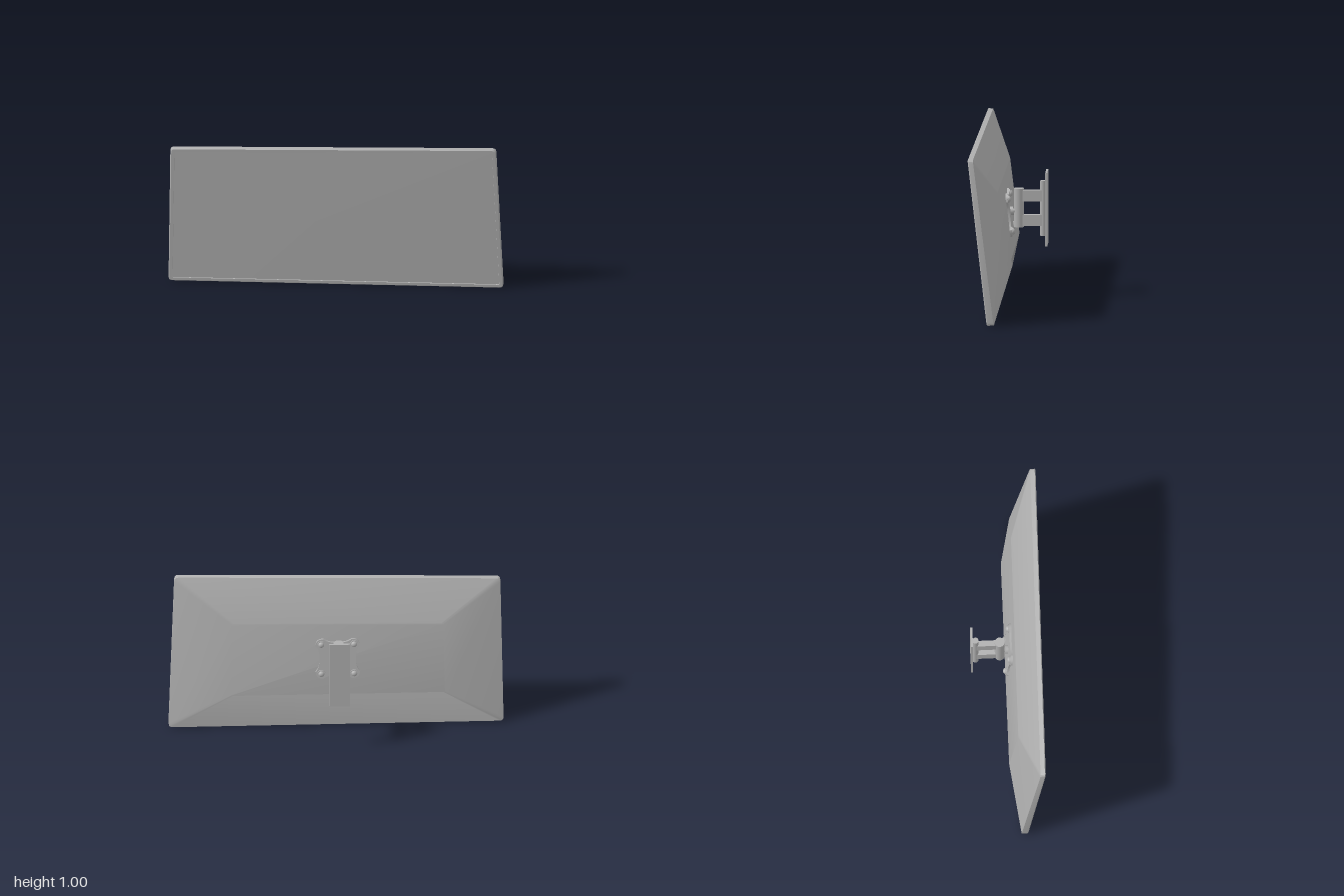
import * as THREE from 'three';
import { toCreasedNormals } from 'three/addons/utils/BufferGeometryUtils.js';

const grey = new THREE.MeshStandardMaterial({ color: 0xb0b0b0 });
grey.name = 'neutral grey';

const V = (x, y, z) => new THREE.Vector3(x, y, z);

function part(name, geometry, parent, x = 0, y = 0, z = 0) {
  const mesh = new THREE.Mesh(geometry, grey);
  mesh.name = name;
  mesh.position.set(x, y, z);
  parent.add(mesh);
  return mesh;
}

// Four corners (bottom left, bottom right, top right, top left) to a loop with rounded corners
function ring(corners, r) {
  const pts = [];
  corners.forEach((c, i) => {
    const towards = (o) => c.clone().add(o.clone().sub(c).setLength(r));
    const curve = new THREE.QuadraticBezierCurve3(
      towards(corners[(i + 3) % 4]), c, towards(corners[(i + 1) % 4]));
    pts.push(...curve.getPoints(3));
  });
  return pts;
}

// Shrink a corner loop in its own plane and push it along z
function inset(corners, d, dz = 0) {
  const sx = [1, -1, -1, 1], sy = [1, 1, -1, -1];
  return corners.map((c, i) => V(c.x + sx[i] * d, c.y + sy[i] * d, c.z + sy[i] * d * 0.115 + dz));
}

function surface(faces, crease) {
  const pos = [];
  for (const f of faces) {
    for (let i = 1; i < f.length - 1; i++) {
      for (const p of [f[0], f[i], f[i + 1]]) pos.push(p.x, p.y, p.z);
    }
  }
  const g = new THREE.BufferGeometry();
  g.setAttribute('position', new THREE.Float32BufferAttribute(pos, 3));
  return toCreasedNormals(g, crease);
}

function buildDisplay(parent) {
  const front = [V(-1, 0.004, 0.085), V(1, 0, 0.1), V(0.96, 1.003, 0.217), V(-0.985, 0.963, 0.192)];
  const rear = [V(-1, 0.008, 0.045), V(1, 0.004, 0.058), V(0.96, 1, 0.185), V(-0.985, 0.96, 0.16)];
  const back = [V(-0.65, 0.265, -0.013), V(0.63, 0.265, -0.006), V(0.62, 0.745, 0.055), V(-0.64, 0.727, 0.043)];

  const screenRing = ring(inset(front, 0.025, -0.005), 0.006);
  const rings = [
    screenRing,
    ring(inset(front, 0.024), 0.006),
    ring(inset(front, 0.006), 0.02),
    ring(inset(front, 0, -0.006), 0.025),
    ring(rear, 0.025),
    ring(back, 0.012),
  ];

  // Casing: bezel, rim and sloping rear skin, leaving the lower rear slope open
  const faces = [];
  for (let k = 0; k < rings.length - 1; k++) {
    const a = rings[k], b = rings[k + 1], n = a.length;
    for (let i = 0; i < n; i++) {
      if (k === rings.length - 2 && i === 3) continue;
      const j = (i + 1) % n;
      faces.push([a[i], b[i], b[j], a[j]]);
    }
  }
  faces.push([...rings[5]].reverse());

  // Recess under the rear hump: set-back panel, ledge and end walls
  const L0 = rings[4][3], R0 = rings[4][4], Li = rings[5][3], Ri = rings[5][4];
  const Ld = Li.clone().add(V(0, 0, 0.095)), Rd = Ri.clone().add(V(0, 0, 0.095));
  faces.push([L0, Ld, Rd, R0], [Ld, Li, Ri, Rd], [L0, Li, Ld], [R0, Rd, Ri]);
  part('displayCasing', surface(faces, 0.5), parent);

  part('screen', surface([screenRing], 0.5), parent);
}

function buildMountPlate(parent) {
  const group = new THREE.Group();
  group.name = 'mountPlate';
  group.position.set(-0.008, 0.508, 0.018);
  group.rotation.x = 0.125;
  parent.add(group);

  // Plate with rounded lobes and concave edges
  const shape = new THREE.Shape();
  const h = 0.132, t = 0.085;
  shape.moveTo(-t, -h);
  for (let i = 0; i < 4; i++) {
    const a = i * Math.PI / 2, c = Math.cos(a), s = Math.sin(a);
    const at = (x, y) => [x * c - y * s, x * s + y * c];
    shape.quadraticCurveTo(...at(-0.06, -0.108), ...at(0, -0.108));
    shape.quadraticCurveTo(...at(0.06, -0.108), ...at(t, -h));
    shape.quadraticCurveTo(...at(h, -h), ...at(h, -t));
  }
  const plate = new THREE.ExtrudeGeometry(shape, { depth: 0.012, bevelEnabled: false, curveSegments: 8 });
  part('plate', toCreasedNormals(plate, 0.5), group, 0, 0, -0.012);

  // Domed bolts with washers
  for (const x of [-0.098, 0.098]) for (const y of [-0.098, 0.098]) {
    const washer = new THREE.CylinderGeometry(0.024, 0.024, 0.006, 20).rotateX(Math.PI / 2);
    part('washer', washer, group, x, y, -0.015);
    const dome = new THREE.SphereGeometry(0.018, 16, 8, 0, Math.PI * 2, 0, Math.PI / 2)
      .scale(1, 0.75, 1).rotateX(-Math.PI / 2);
    part('bolt', dome, group, x, y, -0.018);
  }

  // Central pivot
  const collar = new THREE.CylinderGeometry(0.026, 0.026, 0.018, 24).rotateX(Math.PI / 2);
  part('pivotCollar', collar, group, 0, 0.008, -0.021);
  const pin = new THREE.CylinderGeometry(0.016, 0.016, 0.035, 20).rotateX(Math.PI / 2);
  part('pivotPin', pin, group, 0, 0.008, -0.042);
}

function buildWallArm(parent) {
  const group = new THREE.Group();
  group.name = 'wallArm';
  group.position.x = -0.011;
  parent.add(group);

  part('frontHinge', new THREE.CylinderGeometry(0.03, 0.03, 0.234, 32), group, 0, 0.538, -0.041);
  for (const y of [0.463, 0.612]) {
    part('arm', new THREE.BoxGeometry(0.036, 0.066, 0.125), group, 0, y, -0.122);
  }
  part('rearHinge', new THREE.CylinderGeometry(0.019, 0.019, 0.332, 24), group, 0, 0.536, -0.186);
  part('wallPlate', new THREE.BoxGeometry(0.124, 0.446, 0.012), group, 0, 0.538, -0.208);
}

export function createModel() {
  const model = new THREE.Group();
  model.name = 'wallDisplay';
  buildDisplay(model);
  buildMountPlate(model);
  buildWallArm(model);
  return model;
}
